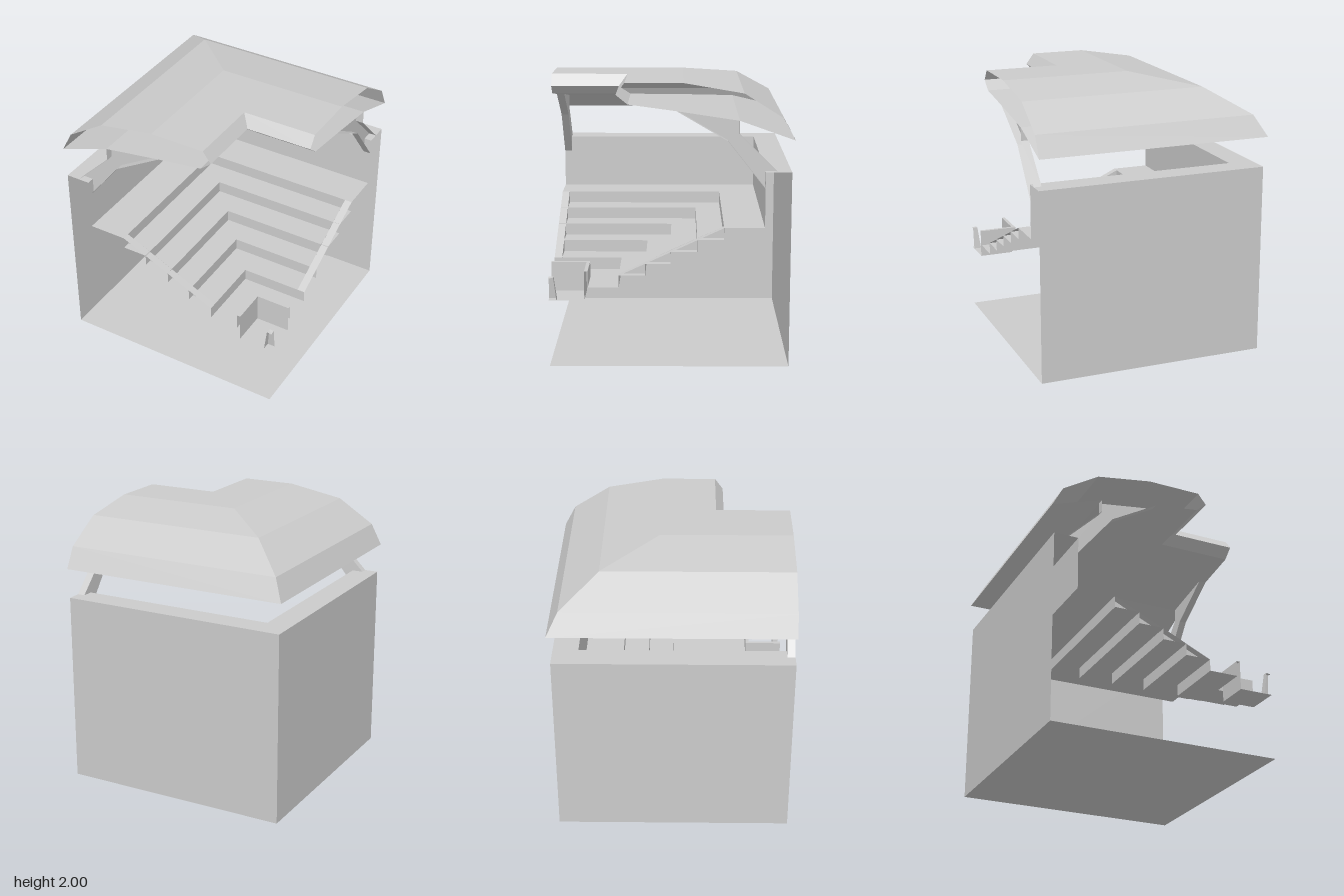
import * as THREE from 'three';

const CUT = 0.85; // plane where the quarter section is cut open
const RIB = 0.795; // inner side of the ribs that lie along the cut

const material = new THREE.MeshStandardMaterial({
  color: 0xcccccc, flatShading: true, side: THREE.DoubleSide,
});

function addMesh(parent, name, geometry) {
  const mesh = new THREE.Mesh(geometry, material);
  mesh.name = name;
  parent.add(mesh);
}

// Runs a profile of [x, y] points along z up to the cut.
// By default each point starts on the diagonal, giving a mitred corner.
function sweep(profile, start = (x) => x) {
  const pos = [];
  for (let i = 0; i < profile.length - 1; i++) {
    const [x0, y0] = profile[i];
    const [x1, y1] = profile[i + 1];
    const a = [x0, y0, start(x0)], b = [x1, y1, start(x1)];
    const c = [x1, y1, CUT], d = [x0, y0, CUT];
    if (a[2] < CUT) pos.push(...a, ...d, ...c);
    if (b[2] < CUT) pos.push(...a, ...c, ...b);
  }
  const geometry = new THREE.BufferGeometry();
  geometry.setAttribute('position', new THREE.Float32BufferAttribute(pos, 3));
  geometry.computeVertexNormals();
  return geometry;
}

// Flat side of a rib
function ribSide(points) {
  const shape = new THREE.Shape(points.map(([x, y]) => new THREE.Vector2(x, y)));
  return new THREE.ShapeGeometry(shape).translate(0, 0, RIB);
}

function createHalf() {
  const half = new THREE.Group();
  const rib = () => RIB;

  // Floor, outer wall, rim and gallery
  addMesh(half, 'floorAndWall', sweep([
    [CUT, 0], [-0.83, 0], [-0.83, 1.39], [-0.65, 1.39], [-0.65, 1], [-0.37, 1],
  ]));

  // Stepped seating
  const steps = [[-0.37, 1]];
  const treads = [-0.37, -0.185, 0, 0.175, 0.36, 0.575];
  for (let i = 0; i < 5; i++) {
    const y = 1 - 0.085 * (i + 1);
    steps.push([treads[i], y], [treads[i + 1], y]);
  }
  addMesh(half, 'seatingSteps', sweep(steps));

  // Sloping rib over the steps, with triangular sides down to each tread
  addMesh(half, 'rampTop', sweep([[-0.37, 1], [0.36, 0.66]], rib));
  for (let i = 0; i < 4; i++) {
    const y = 1 - 0.085 * i;
    addMesh(half, 'rampSide', ribSide([
      [treads[i], y], [treads[i], y - 0.085], [treads[i + 1], y - 0.085],
    ]));
  }

  // Parapet and sunken central pit
  addMesh(half, 'centralPit', sweep([
    [0.575, 0.575], [0.575, 0.69], [0.6, 0.69], [0.6, 0.48], [CUT, 0.48],
  ]));

  // Tapered pedestal in the middle
  addMesh(half, 'pedestal', sweep([[0.795, 0.48], [0.815, 0.645], [CUT, 0.637]]));

  // Hollow faceted roof with an opening at its centre
  addMesh(half, 'roof', sweep([
    [-0.85, 1.61], [-0.77, 1.76], [-0.5, 1.93], [-0.09, 2], [0.31, 2], [0.37, 1.92],
    [0.29, 1.855], [-0.04, 1.81], [-0.47, 1.745], [-0.85, 1.61],
  ]));

  // Bracket carrying the roof
  const upper = [[-0.73, 1.39], [-0.47, 1.65], [-0.47, 1.745]];
  const lower = [[-0.04, 1.81], [-0.39, 1.605], [-0.65, 1.275]];
  addMesh(half, 'bracketTop', sweep(upper, rib));
  addMesh(half, 'bracketUnderside', sweep(lower, rib));
  addMesh(half, 'bracketSide', ribSide([...upper, ...lower, [-0.65, 1.39]]));
  return half;
}

export function createModel() {
  const model = new THREE.Group();
  model.name = 'arenaSection';
  const side = createHalf();
  side.name = 'sideHalf';

  // The back half mirrors the side half across the diagonal
  const back = side.clone();
  back.name = 'backHalf';
  back.scale.x = -1;
  back.rotation.y = Math.PI / 2;
  model.add(side, back);
  return model;
}
